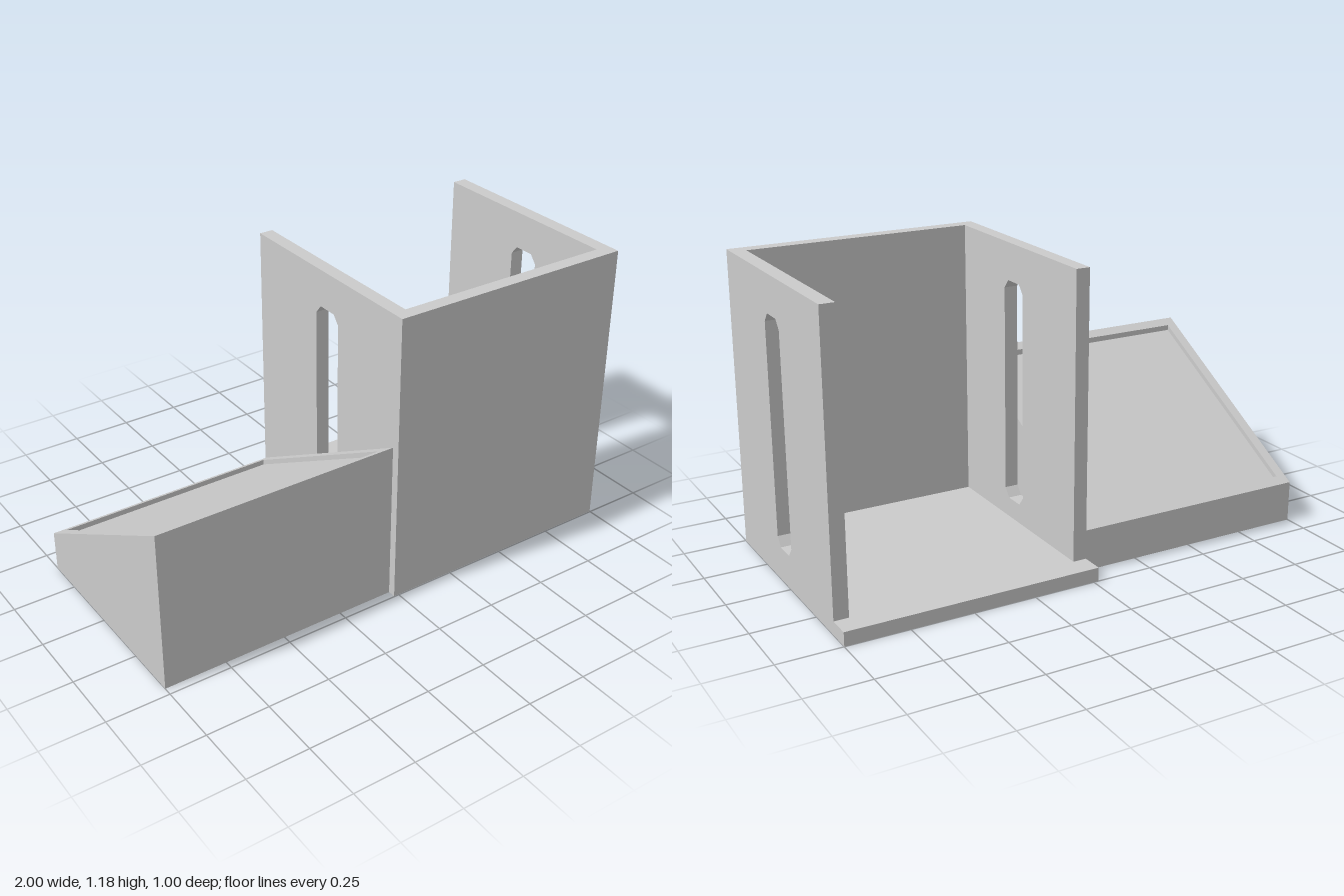
import * as THREE from 'three';

const material = new THREE.MeshStandardMaterial({ color: 0xcccccc, flatShading: true });

function addMesh(group, name, geometry) {
  const mesh = new THREE.Mesh(geometry, material);
  mesh.name = name;
  group.add(mesh);
}

// Box given by its limits on each axis
function boxBetween(x0, x1, y0, y1, z0, z1) {
  return new THREE.BoxGeometry(x1 - x0, y1 - y0, z1 - z0)
    .translate((x0 + x1) / 2, (y0 + y1) / 2, (z0 + z1) / 2);
}

// Side profile of [z, y] points, extruded from x0 to x1
function profileBetween(points, x0, x1, hole) {
  const toVectors = (list) => list.map(([z, y]) => new THREE.Vector2(z, y));
  const shape = new THREE.Shape(toVectors(points));
  if (hole) shape.holes.push(new THREE.Path(toVectors(hole)));
  return new THREE.ExtrudeGeometry(shape, { depth: x1 - x0, bevelEnabled: false })
    .rotateY(-Math.PI / 2)
    .translate(x1, 0, 0);
}

function createBin() {
  const bin = new THREE.Group();
  bin.name = 'openBin';
  const base = 0.055, top = 1.18, front = 0.497, back = -0.41;

  addMesh(bin, 'basePlate', boxBetween(-0.02, 1, 0, base, -0.5, front));
  addMesh(bin, 'frontWall', boxBetween(0.035, 0.942, base, top, 0.442, front));

  // Side walls, each with a tall chamfered slot
  const wall = [[back, base], [front, base], [front, top], [back, top]];
  const slot = [
    [-0.025, 0.17], [-0.025, 0.997], [0.003, 1.032], [0.087, 1.032],
    [0.115, 0.997], [0.115, 0.17], [0.087, 0.135], [0.003, 0.135],
  ];
  addMesh(bin, 'rightSideWall', profileBetween(wall, -0.02, 0.035, slot));
  addMesh(bin, 'leftSideWall', profileBetween(wall, 0.942, 1, slot));
  return bin;
}

function createWedge() {
  const wedge = new THREE.Group();
  wedge.name = 'slopedStand';
  const front = 0.466, back = -0.4, rim = 0.037, recess = 0.022;
  const topAt = (z) => 0.65 + (z - front) * 0.56;

  // Full-height sides form the side rims
  const side = [[back, 0], [front, 0], [front, topAt(front)], [back, topAt(back)]];
  addMesh(wedge, 'rightRim', profileBetween(side, -1, -0.96));
  addMesh(wedge, 'leftRim', profileBetween(side, -0.06, -0.021));

  // Middle body with a shallow recessed panel
  const z0 = back + rim, z1 = front - rim;
  addMesh(wedge, 'recessedBody', profileBetween([
    [back, 0], [front, 0], [front, topAt(front)], [z1, topAt(z1)],
    [z1, topAt(z1) - recess], [z0, topAt(z0) - recess], [z0, topAt(z0)], [back, topAt(back)],
  ], -0.96, -0.06));
  return wedge;
}

export function createModel() {
  const model = new THREE.Group();
  model.name = 'binWithSlopedStand';
  model.add(createBin(), createWedge());
  return model;
}
